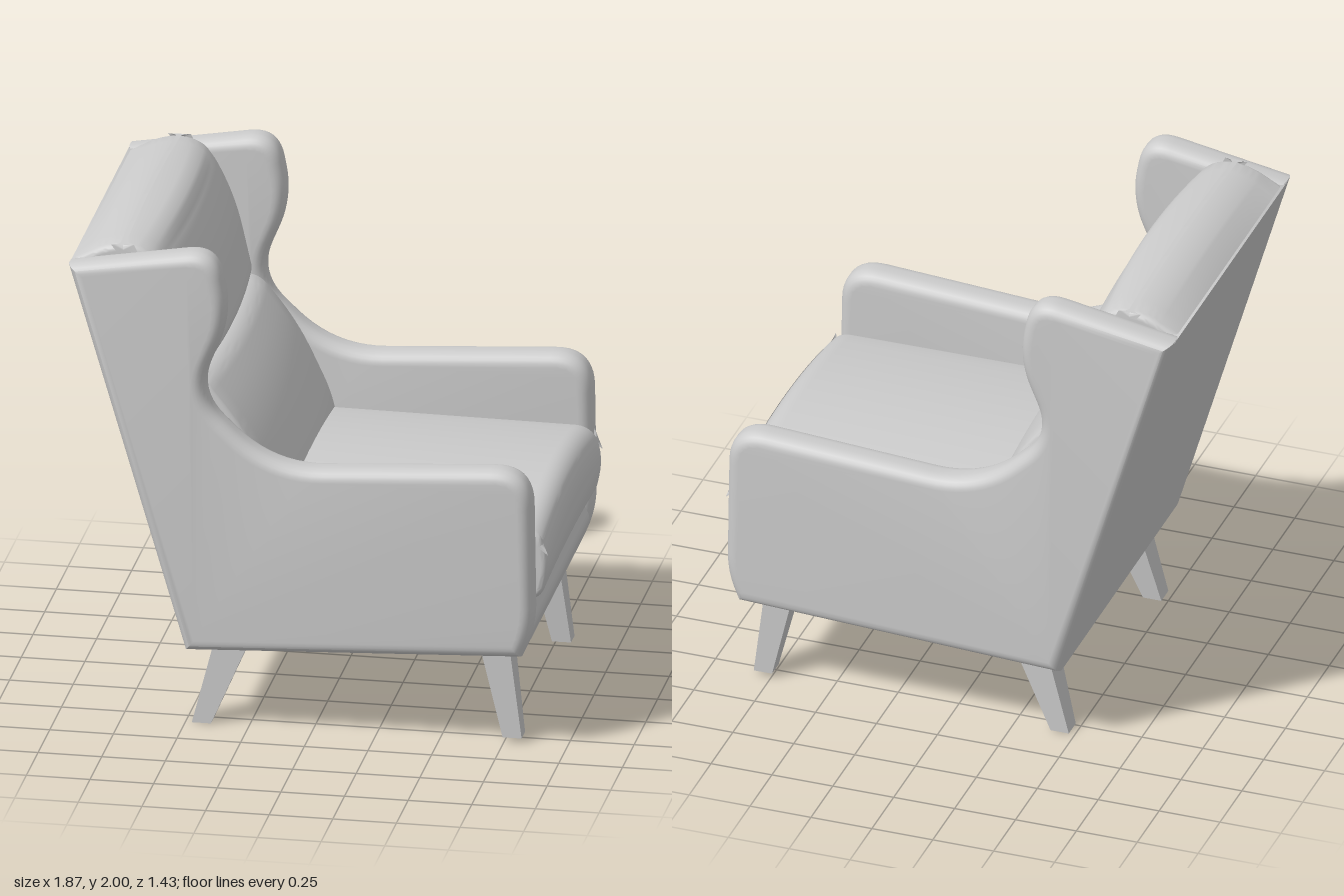
import * as THREE from 'three';
import { toCreasedNormals } from 'three/addons/utils/BufferGeometryUtils.js';

const material = new THREE.MeshStandardMaterial({ color: 0xcccccc, side: THREE.DoubleSide });

// Closed outline from [x, y, cornerSize] points; corners are softened by curves
function outline(points) {
  const shape = new THREE.Shape();
  const n = points.length;
  const toward = (a, b, d) => {
    const v = new THREE.Vector2(b[0] - a[0], b[1] - a[1]).setLength(d);
    return [a[0] + v.x, a[1] + v.y];
  };
  points.forEach((p, i) => {
    const [x, y, r] = p;
    const start = r ? toward(p, points[(i + n - 1) % n], r) : [x, y];
    if (i) shape.lineTo(...start);
    else shape.moveTo(...start);
    if (r) shape.quadraticCurveTo(x, y, ...toward(p, points[(i + 1) % n], r));
  });
  return shape;
}

// Upholstered block: outline swept across z from z0 to z1, rounded ends, optional swelling rule
function pad(name, points, z0, z1, bevel, swell) {
  const thick = bevel * 1.1;
  const geo = new THREE.ExtrudeGeometry(outline(points), {
    depth: z1 - z0 - 2 * thick, steps: swell ? 16 : 1, curveSegments: 10,
    bevelThickness: thick, bevelSize: bevel, bevelOffset: -bevel, bevelSegments: 6,
  });
  geo.translate(0, 0, z0 + thick);
  if (swell) {
    const pos = geo.attributes.position;
    const v = new THREE.Vector3();
    for (let i = 0; i < pos.count; i++) {
      v.fromBufferAttribute(pos, i);
      swell(v, Math.max(0, 1 - (v.z / z1) ** 2));
      pos.setXYZ(i, v.x, v.y, v.z);
    }
  }
  const mesh = new THREE.Mesh(toCreasedNormals(geo, 0.7), material);
  mesh.name = name;
  return mesh;
}

// Tapered, splayed leg; each end is [x0, x1, z0, z1, y]
function leg(name, top, bottom, side) {
  const geo = new THREE.BoxGeometry(1, 1, 1);
  const pos = geo.attributes.position;
  for (let i = 0; i < pos.count; i++) {
    const e = pos.getY(i) > 0 ? top : bottom;
    const x = pos.getX(i) > 0 ? e[1] : e[0];
    const [zMin, zMax] = side > 0 ? [e[2], e[3]] : [-e[3], -e[2]];
    pos.setXYZ(i, x, e[4], pos.getZ(i) > 0 ? zMax : zMin);
  }
  const mesh = new THREE.Mesh(toCreasedNormals(geo, 0.3), material);
  mesh.name = name;
  return mesh;
}

export function createModel() {
  const chair = new THREE.Group();
  chair.name = 'wingArmchair';

  // Sides: arm and wing in one panel
  const sideProfile = [
    [-0.48, 0.34, 0], [0.84, 0.4, 0], [0.89, 0.52, 0.09], [0.88, 1.18, 0.16],
    [-0.14, 1.115, 0.2], [-0.44, 1.4, 0.15], [-0.305, 1.72, 0.13],
    [-0.36, 2.005, 0.12], [-0.94, 1.905, 0],
  ];
  chair.add(pad('leftSidePanel', sideProfile, 0.575, 0.715, 0.05));
  chair.add(pad('rightSidePanel', sideProfile, -0.715, -0.575, 0.05));

  // Sloping back shell and seat base
  chair.add(pad('backShell', [
    [-0.48, 0.34, 0], [-0.36, 0.35, 0], [-0.8, 1.91, 0], [-0.94, 1.9, 0],
  ], -0.66, 0.66, 0.008));
  chair.add(pad('seatBase', [
    [-0.47, 0.345, 0], [0.84, 0.4, 0], [0.875, 0.5, 0.03], [0.845, 0.595, 0.03], [-0.5, 0.595, 0],
  ], -0.65, 0.65, 0.01));

  // Seat cushion, crowned across its width
  chair.add(pad('seatCushion', [
    [-0.35, 0.6, 0], [0.9, 0.6, 0.06], [0.935, 0.77, 0.08], [0.89, 0.89, 0.07], [-0.35, 0.9, 0],
  ], -0.585, 0.585, 0.025, (v, k) => {
    v.y += k * (v.y > 0.75 ? 0.06 : 0.02);
  }));

  // Lower back cushion
  chair.add(pad('backCushion', [
    [-0.55, 0.62, 0], [-0.1, 0.62, 0], [-0.12, 0.92, 0.12], [-0.27, 1.24, 0.14],
    [-0.425, 1.43, 0.06], [-0.78, 1.43, 0],
  ], -0.6, 0.6, 0.025, (v, k) => {
    if (v.x > -0.5 && v.y > 0.7) v.x += 0.035 * k;
  }));

  // Headrest cushion
  chair.add(pad('headrest', [
    [-0.77, 1.42, 0], [-0.445, 1.42, 0.05], [-0.52, 1.75, 0.13], [-0.64, 1.975, 0.11],
    [-0.8, 1.97, 0.07], [-0.93, 1.9, 0],
  ], -0.61, 0.61, 0.025, (v, k) => {
    if (v.x > -0.7) v.x += 0.035 * k;
    if (v.y > 1.92) v.y += 0.025 * k;
  }));

  // Legs
  for (const side of [1, -1]) {
    const word = side > 0 ? 'left' : 'right';
    chair.add(leg(word + 'FrontLeg',
      [0.65, 0.77, 0.45, 0.57, 0.42], [0.745, 0.82, 0.49, 0.565, 0.02], side));
    chair.add(leg(word + 'BackLeg',
      [-0.38, -0.24, 0.45, 0.57, 0.37], [-0.475, -0.4, 0.49, 0.57, 0], side));
  }
  return chair;
}
